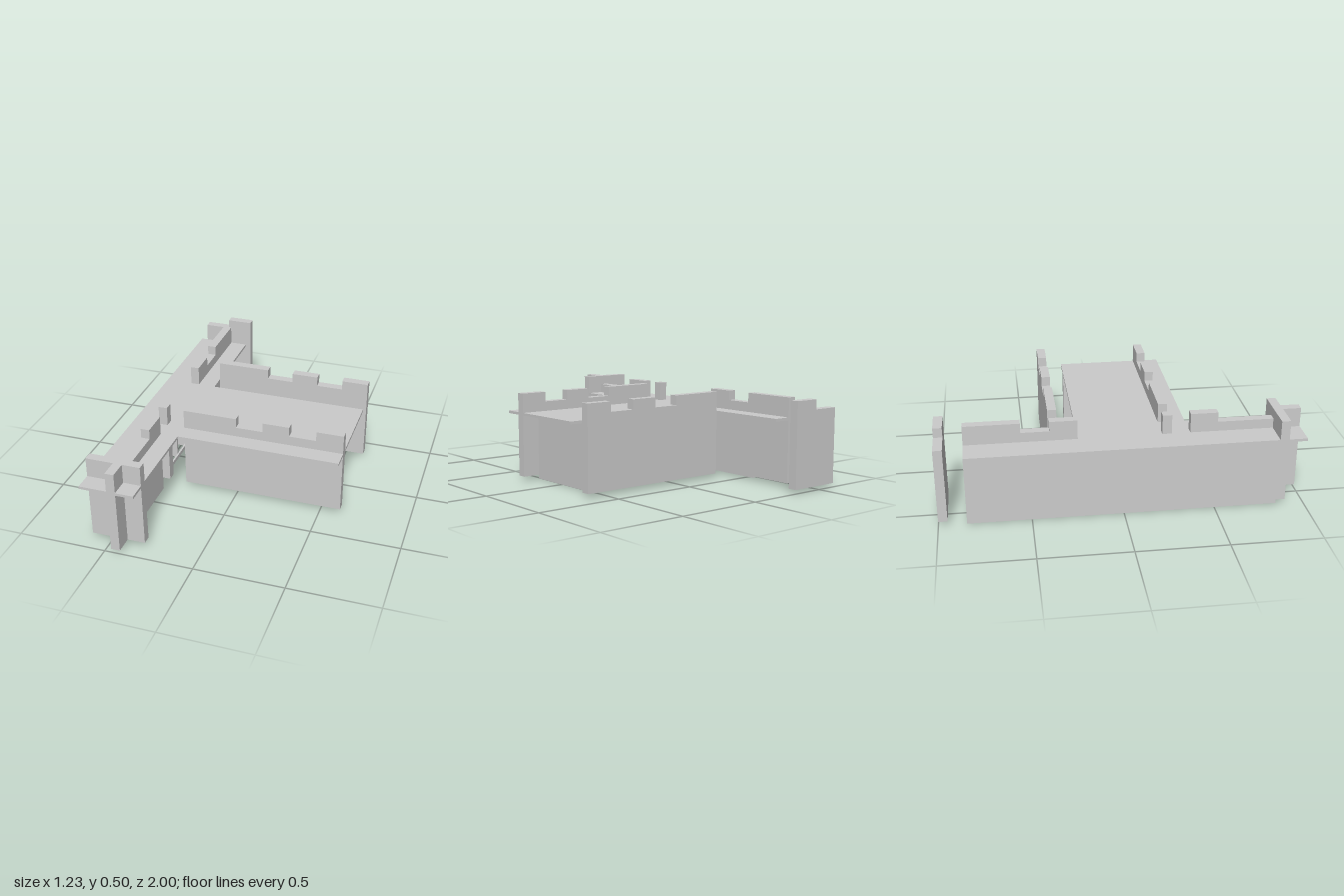
import * as THREE from 'three';

const material = new THREE.MeshStandardMaterial({ color: 0xcccccc, flatShading: true });
const BASE = 0.022, LOW = 0.445, HIGH = 0.5, DECK = 0.375, THICK = 0.05;

export function createModel() {
  const model = new THREE.Group();
  model.name = 'fortifiedWalkway';

  const add = (parent, name, geometry) => {
    const mesh = new THREE.Mesh(geometry, material);
    mesh.name = name;
    parent.add(mesh);
    return mesh;
  };

  // Box given by its two extreme corners
  const box = (parent, name, x0, x1, y0, y1, z0, z1) => {
    const mesh = add(parent, name, new THREE.BoxGeometry(x1 - x0, y1 - y0, z1 - z0));
    mesh.position.set((x0 + x1) / 2, (y0 + y1) / 2, (z0 + z1) / 2);
    return mesh;
  };

  // Crenellated panel: stops along its length, with the top height of each section
  const panel = (name, stops, tops) => {
    const shape = new THREE.Shape();
    shape.moveTo(stops[0], BASE);
    tops.forEach((top, i) => {
      shape.lineTo(stops[i], top);
      shape.lineTo(stops[i + 1], top);
    });
    shape.lineTo(stops[stops.length - 1], BASE);
    shape.closePath();
    return add(model, name, new THREE.ExtrudeGeometry(shape, { depth: THICK, bevelEnabled: false }));
  };
  const panelAlongX = (name, z, stops, tops) => {
    panel(name, stops, tops).position.z = z;
  };
  const panelAlongZ = (name, x, stops, tops) => {
    // shape x becomes -z after the turn, so the stops are listed as -z
    const mesh = panel(name, stops, tops);
    mesh.rotation.y = Math.PI / 2;
    mesh.position.x = x;
  };

  // Deck: long strip with a wing to one side
  const plan = new THREE.Shape([
    [-0.615, -1], [-0.31, -1], [-0.31, -0.382], [0.613, -0.382],
    [0.613, 0.233], [-0.31, 0.233], [-0.31, 0.848], [-0.615, 0.848],
  ].map(([x, y]) => new THREE.Vector2(x, y)));
  const deck = add(model, 'deck', new THREE.ExtrudeGeometry(plan, { depth: 0.015, bevelEnabled: false }));
  deck.rotation.x = -Math.PI / 2;
  deck.position.y = DECK;

  // Wing side walls with battlements
  const wingStops = [-0.31, 0, 0.154, 0.307, 0.46, 0.613];
  const wingTops = [HIGH, LOW, HIGH, LOW, HIGH];
  panelAlongX('wingFrontWall', 0.23, wingStops, wingTops);
  panelAlongX('wingBackWall', -0.385, wingStops, wingTops);

  // End walls of the long strip
  panelAlongX('frontEndWall', 0.848, [-0.615, -0.31], [HIGH]);
  panelAlongX('backEndWall', -1, [-0.615, -0.46, -0.31], [LOW, HIGH]);

  // Inner wall of the long strip, broken by the wing passage
  panelAlongZ('innerFrontWall', -0.46, [-0.848, -0.537, -0.385], [LOW, HIGH]);
  panelAlongZ('innerBackWall', -0.46, [0.233, 0.385, 0.54, 0.848], [HIGH, LOW, HIGH]);
  panelAlongZ('frontButtress', -0.46, [-1, -0.898], [HIGH]);
  box(model, 'passagePost', -0.46, -0.41, BASE, HIGH, 0.23, 0.282);

  // Plain walls carrying the deck
  box(model, 'longOuterWall', -0.615, -0.563, 0, DECK, -0.848, 0.848);
  box(model, 'wingEndWall', 0.46, 0.512, 0, DECK, -0.233, 0.23);

  // Staircase behind the inner wall: treads on upright supports, tied by a bottom rail
  const stairs = new THREE.Group();
  stairs.name = 'stairs';
  model.add(stairs);
  const steps = 8, run = 1.08 / steps, rise = DECK / steps;
  for (let i = 0; i < steps; i++) {
    const front = 0.54 - i * run, y = i * rise;
    box(stairs, 'tread', -0.563, -0.46, y, y + rise / 2, front - run, front);
    if (i > 0) box(stairs, 'treadSupport', -0.563, -0.47, 0.002, y, front - run, front - run + 0.015);
  }
  box(stairs, 'bottomRail', -0.472, -0.461, 0, BASE, -0.54, 0.54 - run);

  return model;
}
